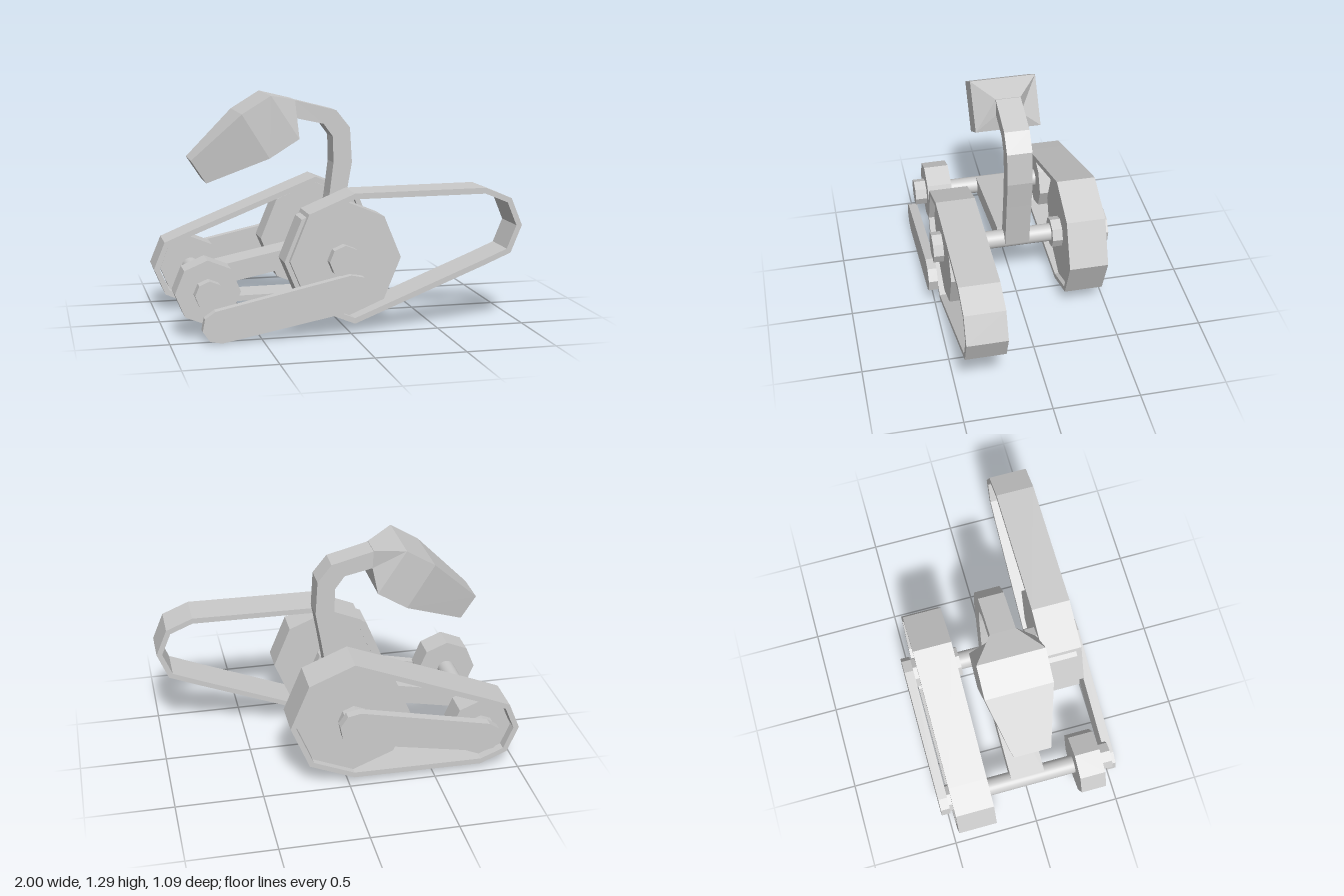
import * as THREE from 'three';

const grey = () => new THREE.MeshStandardMaterial({ color: 0xcccccc, flatShading: true });
const HUB = [-0.03, 0.41];   // main axle (x, y)
const TIP = [-0.78, 0.26];   // small axle (x, y)
const TILT = Math.atan2(HUB[1] - TIP[1], HUB[0] - TIP[0]);

export function createModel() {
  const root = new THREE.Group();

  const add = (name, geo, mat = grey()) => {
    const m = new THREE.Mesh(geo, mat);
    m.name = name;
    root.add(m);
    return m;
  };

  // Prism along z between z0 and z1, with a corner pointing up
  const disc = (name, [x, y], r, z0, z1, sides = 8) => {
    const g = new THREE.CylinderGeometry(r, r, Math.abs(z1 - z0), sides).rotateX(Math.PI / 2);
    g.translate(x, y, (z0 + z1) / 2);
    const mat = grey();
    mat.flatShading = sides <= 8;
    return add(name, g, mat);
  };

  // Outline round two octagons: one at the origin, one at (ex, ey) on the -x side
  const loop = (r1, ex, ey, r2) => {
    const pts = [];
    for (let k = -2; k <= 2; k++) {
      const a = k * Math.PI / 4;
      pts.push(new THREE.Vector2(r1 * Math.cos(a), r1 * Math.sin(a)));
    }
    for (let k = 2; k <= 6; k++) {
      const a = k * Math.PI / 4;
      pts.push(new THREE.Vector2(ex + r2 * Math.cos(a), ey + r2 * Math.sin(a)));
    }
    return pts;
  };
  const slab = (shape, depth) => {
    const g = new THREE.ExtrudeGeometry(shape, { depth, bevelEnabled: false });
    return g.translate(0, 0, -depth / 2);
  };

  // Track belts, the front one turned half round
  const ex = TIP[0] - HUB[0], ey = TIP[1] - HUB[1];
  const belt = new THREE.Shape(loop(0.365, ex, ey, 0.22));
  belt.holes.push(new THREE.Path(loop(0.333, ex, ey, 0.187).reverse()));
  const beltGeo = slab(belt, 0.226);
  add('backTrack', beltGeo).position.set(-0.03, 0.41, -0.36);
  const frontTrack = add('frontTrack', beltGeo);
  frontTrack.position.set(0.03, 0.417, 0.36);
  frontTrack.rotation.z = Math.PI;

  // Side arms
  const armGeo = slab(new THREE.Shape(loop(0.1, -Math.hypot(ex, ey), 0, 0.09)), 0.053);
  for (const [name, x, y, z] of [['backArm', -0.03, 0.41, -0.517], ['frontArm', 0.01, 0.244, 0.517]]) {
    const arm = add(name, armGeo);
    arm.position.set(x, y, z);
    arm.rotation.z = TILT;
  }

  // Wheels and hubs on both sides
  for (const [side, s] of [['front', 1], ['back', -1]]) {
    disc(side + 'MainWheel', HUB, 0.33, s * 0.27, s * 0.44);
    disc(side + 'MainHub', HUB, 0.09, s * 0.21, s * 0.5);
    disc(side + 'SmallWheel', TIP, 0.18, s * 0.28, s * 0.43);
    disc(side + 'SmallHub', TIP, 0.08, s * 0.42, s * 0.5);
  }

  // Axles and the bar joining them
  disc('mainAxle', HUB, 0.053, -0.3, 0.3, 32);
  disc('smallAxle', TIP, 0.053, -0.35, 0.35, 32);
  const bar = add('frameBar', new THREE.BoxGeometry(0.73, 0.11, 0.2));
  bar.position.set(-0.42, 0.332, 0);
  bar.rotation.z = TILT;

  // Bent neck
  const neck = [
    [0.03, 0.41], [0.08, 0.72], [0.112, 0.9], [0.1, 1.1], [0.02, 1.2], [-0.22, 1.262],
    [-0.215, 1.16], [-0.055, 1.125], [0, 1.05], [0.003, 0.9], [-0.02, 0.72], [-0.07, 0.41],
  ].map(([x, y]) => new THREE.Vector2(x, y));
  add('neck', slab(new THREE.Shape(neck), 0.144));

  // Head: four-cornered sections [top x, top y, bottom x, bottom y, half width]
  const sections = [
    [-0.82, 0.94, -0.735, 0.81, 0.105],
    [-0.545, 1.2, -0.39, 0.95, 0.19],
    [-0.38, 1.3, -0.22, 1.055, 0.19],
    [-0.22, 1.265, -0.215, 1.16, 0.072],
  ];
  const pos = [], idx = [];
  for (const [tx, ty, bx, by, w] of sections) {
    pos.push(tx, ty, w, tx, ty, -w, bx, by, -w, bx, by, w);
  }
  const quad = (a, b, c, d) => idx.push(a, b, c, a, c, d);
  for (let i = 0; i < sections.length - 1; i++) {
    for (let k = 0; k < 4; k++) {
      const a = i * 4 + k, b = i * 4 + (k + 1) % 4;
      quad(a, a + 4, b + 4, b);
    }
  }
  quad(0, 1, 2, 3);
  const last = (sections.length - 1) * 4;
  quad(last + 3, last + 2, last + 1, last);
  let head = new THREE.BufferGeometry();
  head.setAttribute('position', new THREE.Float32BufferAttribute(pos, 3));
  head.setIndex(idx);
  head = head.toNonIndexed();
  head.computeVertexNormals();
  add('head', head);

  return root;
}
